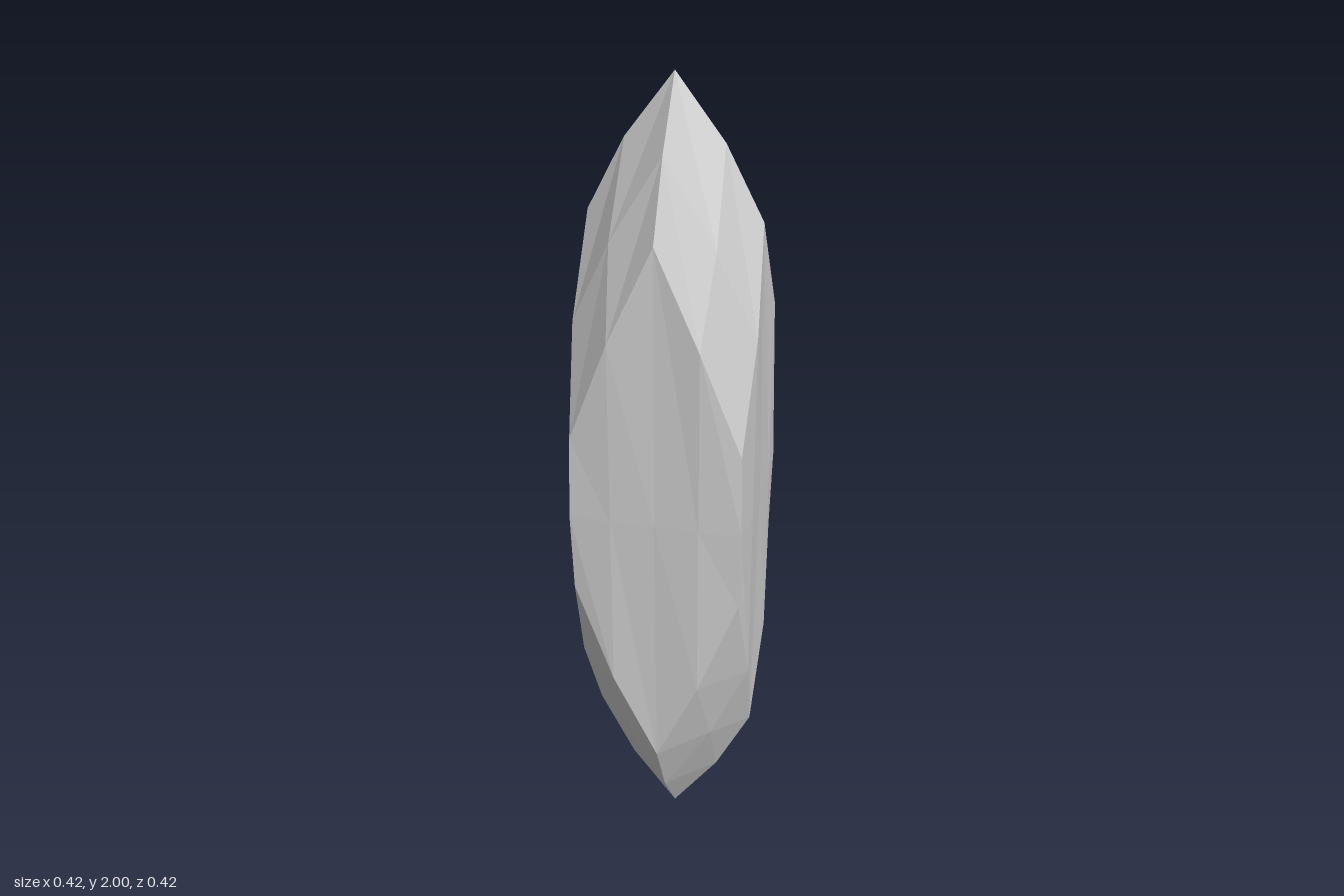
import * as THREE from 'three';

// Slightly bulged facets, each a 3 x 3 grid of points (rows run down, columns run right).
// Heights are measured from the middle of the crystal.
const TIP_FACET = [
  [[0, 1, 0], [0.113, 0.85, 0], [0.2, 0.68, 0]],
  [[0, 0.85, 0.113], [0.12, 0.65, 0.12], [0.212, 0.45, 0.105]],
  [[0, 0.68, 0.2], [0.105, 0.45, 0.212], [0.2, 0.2, 0.2]],
];
const HALF_SIDE_FACET = [
  [[0, 0.68, 0.2], [0.105, 0.45, 0.212], [0.2, 0.2, 0.2]],
  [[0, 0, 0.209], [0.105, 0, 0.212], [0.205, 0, 0.205]],
  [[0, -0.68, 0.2], [0.105, -0.45, 0.212], [0.2, -0.2, 0.2]],
];

// Adds a facet after mirroring it by sx, sy and turning it by quarter turns about y.
function addFacet(out, grid, sx, sy, turns) {
  const place = ([x, y, z]) => {
    let px = x * sx, pz = z;
    for (let i = 0; i < turns; i++) [px, pz] = [pz, -px];
    return [px, y * sy + 1, pz];
  };
  const p = grid.map(row => row.map(place));
  for (let r = 0; r < 2; r++) {
    for (let c = 0; c < 2; c++) {
      const quad = [p[r][c], p[r + 1][c], p[r + 1][c + 1], p[r][c + 1]];
      if (sx * sy < 0) quad.reverse(); // keep mirrored faces pointing outwards
      const [a, b, d, e] = quad;
      out.push(...a, ...b, ...d, ...a, ...d, ...e);
    }
  }
}

function facetMesh(name, positions, material) {
  const geometry = new THREE.BufferGeometry();
  geometry.setAttribute('position', new THREE.Float32BufferAttribute(positions, 3));
  geometry.computeVertexNormals();
  const mesh = new THREE.Mesh(geometry, material);
  mesh.name = name;
  return mesh;
}

export function createModel() {
  const group = new THREE.Group();
  group.name = 'crystal';
  const material = new THREE.MeshStandardMaterial({ color: 0xcccccc, flatShading: true });

  const upper = [], lower = [], sides = [];
  for (let turns = 0; turns < 4; turns++) {
    // four kite facets at each tip
    addFacet(upper, TIP_FACET, 1, 1, turns);
    addFacet(lower, TIP_FACET, 1, -1, turns);
    // each long six-sided facet is two mirrored halves
    addFacet(sides, HALF_SIDE_FACET, 1, 1, turns);
    addFacet(sides, HALF_SIDE_FACET, -1, 1, turns);
  }
  group.add(
    facetMesh('upperTip', upper, material),
    facetMesh('lowerTip', lower, material),
    facetMesh('sideFacets', sides, material),
  );
  return group;
}
